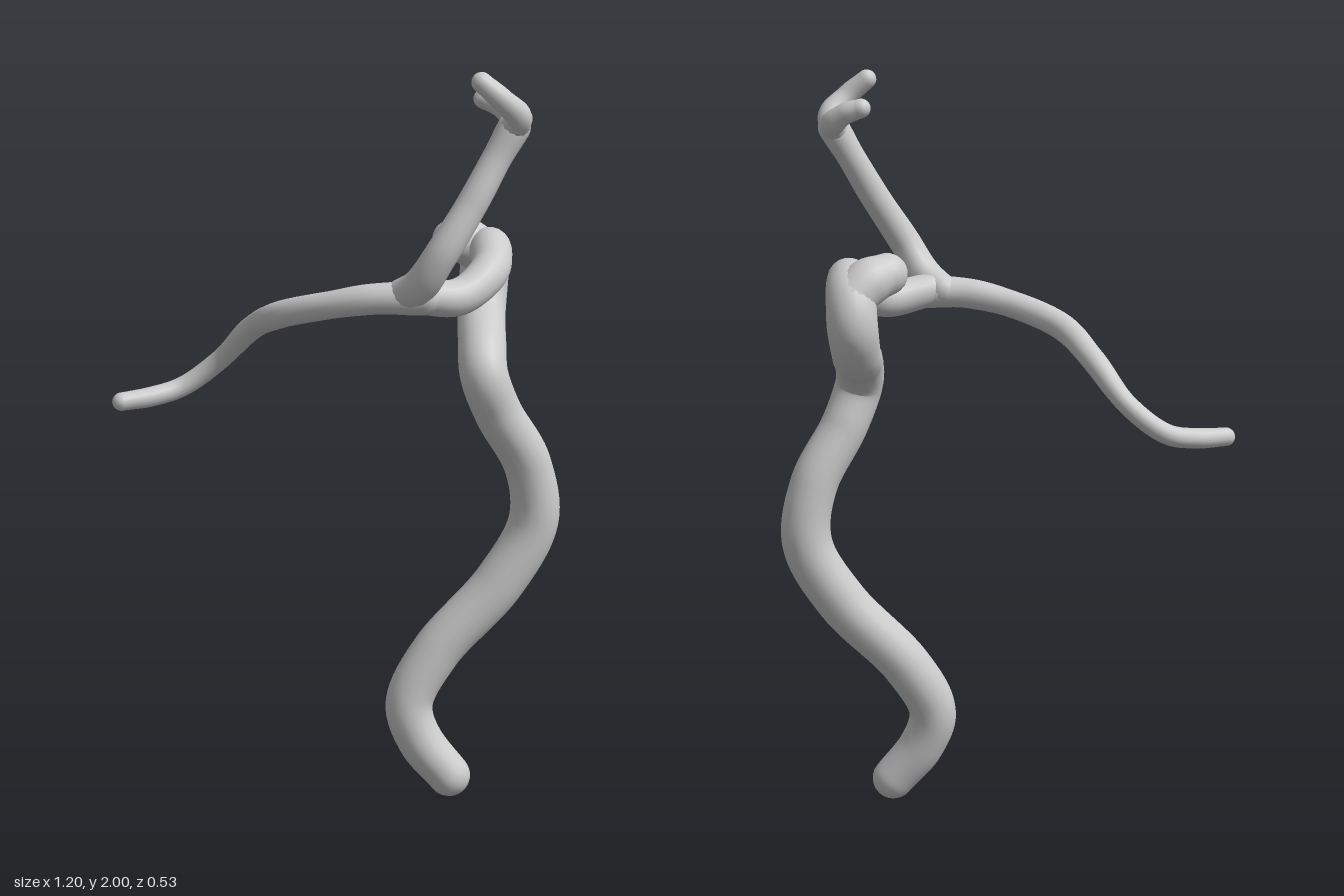
import * as THREE from 'three';

const material = new THREE.MeshStandardMaterial({ color: 0xcccccc });

// Round-ended tube through points [x, y, z, radius]
function vessel(name, points, sides = 20) {
  const curve = new THREE.CatmullRomCurve3(points.map(p => new THREE.Vector3(p[0], p[1], p[2])));
  const steps = points.length * 10, capSteps = 6;
  const frames = curve.computeFrenetFrames(steps, false);
  const radiusAt = t => {
    const f = t * (points.length - 1), i = Math.min(Math.floor(f), points.length - 2);
    return THREE.MathUtils.lerp(points[i][3], points[i + 1][3], THREE.MathUtils.smoothstep(f - i, 0, 1));
  };
  // Rings: [frame index, radius, shift along the tangent]
  const rings = [];
  const r0 = points[0][3], r1 = points[points.length - 1][3];
  for (let i = 0; i < capSteps; i++) {
    const a = (i / capSteps) * Math.PI / 2;
    rings.push([0, r0 * Math.max(Math.sin(a), 0.001), -r0 * Math.cos(a)]);
  }
  for (let i = 0; i <= steps; i++) rings.push([i, radiusAt(curve.getUtoTmapping(i / steps)), 0]);
  for (let i = capSteps - 1; i >= 0; i--) {
    const a = (i / capSteps) * Math.PI / 2;
    rings.push([steps, r1 * Math.max(Math.sin(a), 0.001), r1 * Math.cos(a)]);
  }
  const positions = [], index = [];
  rings.forEach(([k, r, shift], row) => {
    const centre = curve.getPointAt(k / steps).addScaledVector(frames.tangents[k], shift);
    for (let j = 0; j < sides; j++) {
      const a = (j / sides) * Math.PI * 2;
      const p = centre.clone()
        .addScaledVector(frames.normals[k], r * Math.cos(a))
        .addScaledVector(frames.binormals[k], r * Math.sin(a));
      positions.push(p.x, p.y, p.z);
      if (row === 0) continue;
      const n = (j + 1) % sides, lo = (row - 1) * sides, hi = row * sides;
      index.push(lo + j, lo + n, hi + j, lo + n, hi + n, hi + j);
    }
  });
  const geometry = new THREE.BufferGeometry();
  geometry.setAttribute('position', new THREE.Float32BufferAttribute(positions, 3));
  geometry.setIndex(index);
  geometry.computeVertexNormals();
  const mesh = new THREE.Mesh(geometry, material);
  mesh.name = name;
  return mesh;
}

export function createModel() {
  const group = new THREE.Group();
  group.name = 'branchingVessel';

  // Winding trunk that loops backwards, then runs forward to the fork
  group.add(vessel('trunk', [
    [0.31, 0.06, 0.07, 0.058],
    [0.23, 0.16, 0.065, 0.062],
    [0.2, 0.26, 0.055, 0.064],
    [0.27, 0.4, 0.03, 0.066],
    [0.44, 0.59, -0.005, 0.068],
    [0.53, 0.76, -0.025, 0.067],
    [0.51, 0.92, -0.015, 0.064],
    [0.43, 1.07, 0.025, 0.063],
    [0.39, 1.18, 0.045, 0.064],
    [0.385, 1.25, -0.02, 0.064],
    [0.385, 1.3, -0.14, 0.064],
    [0.39, 1.38, -0.198, 0.066],
    [0.395, 1.455, -0.175, 0.065],
    [0.405, 1.485, -0.09, 0.056],
    [0.4, 1.45, 0.01, 0.052],
    [0.32, 1.4, 0.1, 0.049],
    [0.2, 1.415, 0.16, 0.045],
  ]));

  // Short rounded bulge at the back of the loop
  group.add(vessel('bulge', [
    [0.395, 1.45, -0.185, 0.06],
    [0.35, 1.49, -0.155, 0.062],
    [0.305, 1.505, -0.122, 0.055],
  ]));

  // Long thin side branch
  group.add(vessel('sideBranch', [
    [0.23, 1.41, 0.16, 0.045],
    [0.1, 1.405, 0.155, 0.04],
    [-0.02, 1.38, 0.125, 0.036],
    [-0.15, 1.335, 0.045, 0.036],
    [-0.23, 1.27, -0.07, 0.032],
    [-0.32, 1.165, -0.145, 0.027],
    [-0.42, 1.09, -0.15, 0.027],
    [-0.5, 1.07, -0.115, 0.027],
    [-0.58, 1.065, -0.075, 0.025],
  ], 14));

  // Upright branch rising to a small fork
  group.add(vessel('upperBranch', [
    [0.17, 1.415, 0.155, 0.042],
    [0.22, 1.45, 0.195, 0.046],
    [0.27, 1.53, 0.218, 0.043],
    [0.35, 1.66, 0.19, 0.04],
    [0.41, 1.77, 0.16, 0.038],
    [0.455, 1.85, 0.145, 0.042],
  ], 14));

  // Two tips of the fork
  group.add(vessel('frontTip', [
    [0.45, 1.845, 0.145, 0.038],
    [0.465, 1.88, 0.18, 0.034],
    [0.42, 1.93, 0.21, 0.029],
    [0.37, 1.972, 0.207, 0.026],
  ], 12));
  group.add(vessel('backTip', [
    [0.45, 1.845, 0.145, 0.038],
    [0.455, 1.865, 0.105, 0.033],
    [0.42, 1.895, 0.08, 0.029],
    [0.378, 1.91, 0.068, 0.026],
  ], 12));

  return group;
}
